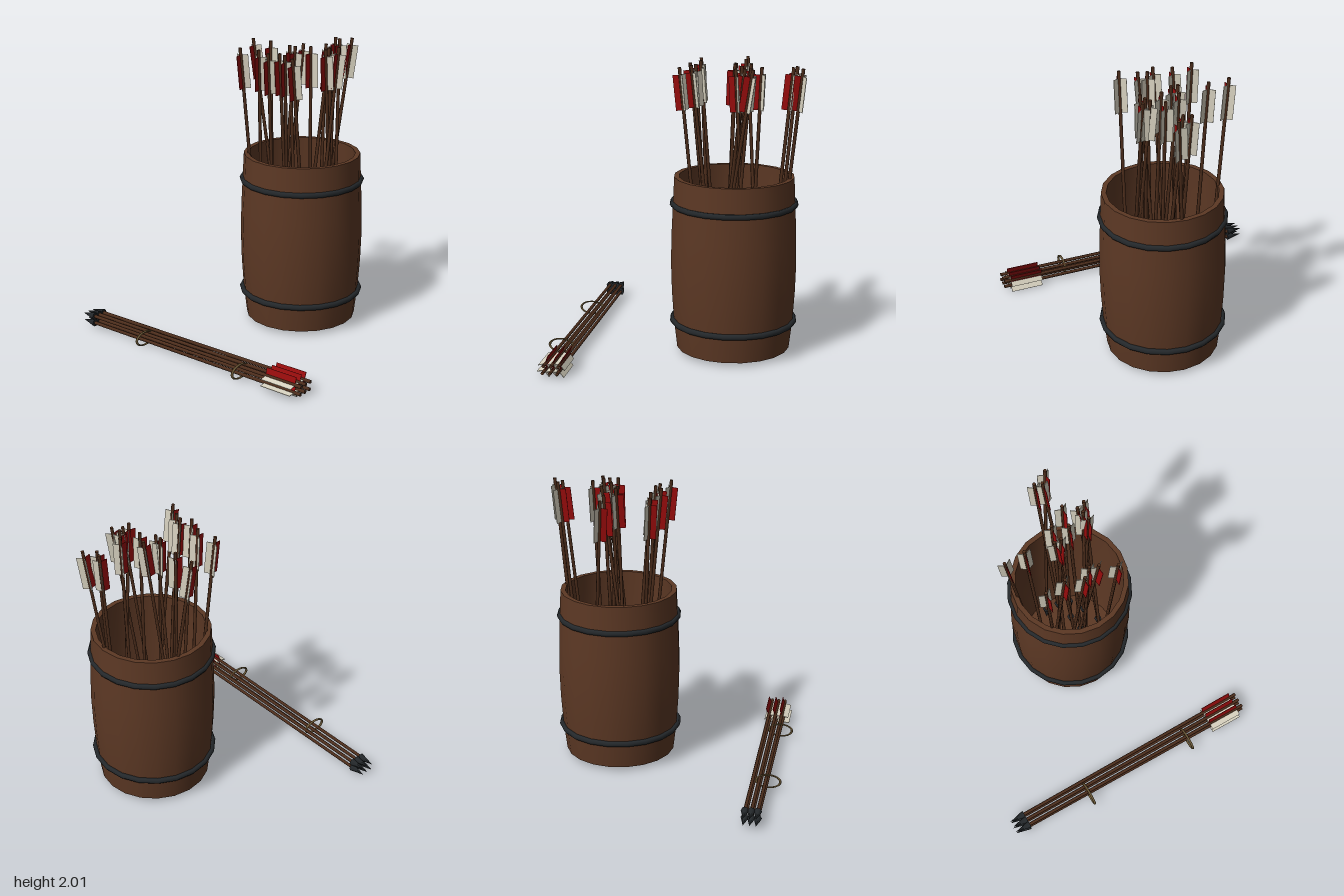
import * as THREE from 'three';

const mat = (name, color, side = THREE.FrontSide) => {
  const m = new THREE.MeshStandardMaterial({ color, side });
  m.name = name;
  return m;
};

export function createModel() {
  const model = new THREE.Group();
  model.name = 'arrowBarrel';

  const barrelWood = mat('barrel wood', 0x5c3824);
  const shaftWood = mat('shaft wood', 0x4e2e1c);
  const iron = mat('dark iron', 0x24282b);
  const redFeather = mat('red feather', 0x960c0c);
  const paleFeather = mat('pale feather', 0xd8d2c0);
  const cord = mat('cord', 0x6b5836);

  const add = (parent, name, geo, material, x = 0, y = 0, z = 0) => {
    const mesh = new THREE.Mesh(geo, material);
    mesh.name = name;
    mesh.position.set(x, y, z);
    parent.add(mesh);
    return mesh;
  };

  // Barrel: outer wall, rim, inner wall and floor in one profile
  const barrel = new THREE.Group();
  barrel.name = 'barrel';
  barrel.position.set(0.13, 0, -0.37);
  model.add(barrel);
  const lathe = (name, pts) =>
    add(barrel, name, new THREE.LatheGeometry(pts.map(p => new THREE.Vector2(...p)), 20), barrelWood);
  lathe('barrelBottom', [[0, 0.02], [0.395, 0.02]]);
  lathe('barrelWall', [[0.395, 0.02], [0.418, 0.22], [0.432, 0.43], [0.438, 0.64], [0.434, 0.84], [0.424, 1.05], [0.415, 1.24]]);
  lathe('barrelRim', [[0.415, 1.24], [0.38, 1.24]]);
  lathe('barrelInside', [[0.38, 1.24], [0.4, 0.64], [0.358, 0.045]]);
  lathe('barrelFloor', [[0.358, 0.045], [0, 0.045]]);
  for (const y of [0.215, 1.05]) {
    const hoop = add(barrel, 'ironHoop', new THREE.TorusGeometry(0.425, 0.021, 6, 20), iron, 0, y, 0);
    hoop.rotation.x = Math.PI / 2;
  }

  // One arrow from tip to nock; turn spins the red vane about the shaft
  const up = new THREE.Vector3(0, 1, 0);
  const headGeo = new THREE.ConeGeometry(0.028, 0.115, 6).rotateX(Math.PI);
  const vaneGeo = new THREE.BoxGeometry(0.004, 0.24, 0.05).translate(0, 0, 0.027);
  function arrow(parent, tip, nock, turn) {
    const dir = nock.clone().sub(tip);
    const length = dir.length();
    const g = new THREE.Group();
    g.name = 'arrow';
    g.position.copy(tip);
    g.quaternion.setFromUnitVectors(up, dir.normalize());
    add(g, 'shaft', new THREE.CylinderGeometry(0.012, 0.012, length - 0.1, 6), shaftWood, 0, (length + 0.1) / 2, 0);
    add(g, 'arrowhead', headGeo, iron, 0, 0.0575, 0);
    for (let i = 0; i < 3; i++) {
      const vane = add(g, 'feather', vaneGeo, i ? paleFeather : redFeather, 0, length - 0.17, 0);
      vane.rotation.y = turn + i * Math.PI * 2 / 3;
    }
    parent.add(g);
  }

  // Arrows standing in the barrel: tip x, tip z, nock x, nock z
  const standing = new THREE.Group();
  standing.name = 'standingArrows';
  model.add(standing);
  [
    [-0.11, -0.52, -0.33, -0.39], [-0.07, -0.18, -0.2, -0.08], [-0.09, -0.33, -0.18, -0.4],
    [-0.12, -0.24, -0.05, -0.1], [0.02, -0.22, 0.07, -0.05], [0.15, -0.22, 0.13, -0.1],
    [0.1, -0.27, 0.19, -0.08], [0.32, -0.22, 0.3, -0.02], [-0.03, -0.28, 0.07, -0.36],
    [0.15, -0.3, 0.02, -0.36], [0.22, -0.36, 0.16, -0.42], [0.02, -0.22, 0.06, -0.47],
    [0.2, -0.48, 0.19, -0.56], [0.38, -0.36, 0.27, -0.5], [0.32, -0.22, 0.33, -0.52],
    [0.2, -0.24, 0.29, -0.46], [0.32, -0.5, 0.3, -0.4], [0.06, -0.62, 0.22, -0.84],
    [0.17, -0.62, 0.11, -0.79], [0.26, -0.59, 0.16, -0.77],
  ].forEach(([tx, tz, nx, nz], i) =>
    arrow(standing, new THREE.Vector3(tx, 0.05, tz), new THREE.Vector3(nx, 2, nz), 0.15 * Math.sin(i * 2.3)));

  // Bundle lying on the ground
  const bundle = new THREE.Group();
  bundle.name = 'arrowBundle';
  model.add(bundle);
  for (let row = 0; row < 2; row++) {
    for (let col = 0; col < 3; col++) {
      const tip = new THREE.Vector3(-0.98, 0.035 + row * 0.05, 0.68 + col * 0.043);
      const nock = new THREE.Vector3(0.985, 0.036 + row * 0.05, 0.666 + col * 0.05 + (row ? 0 : 0.008));
      arrow(bundle, tip, nock, -1.92 + 0.08 * Math.sin(row * 4 + col * 2));
    }
  }

  // Cord loops tied round the bundle
  for (const x of [-0.365, 0.49]) {
    const loop = add(bundle, 'cordLoop', new THREE.TorusGeometry(0.085, 0.009, 6, 20), cord, x, 0.06, 0.78);
    loop.rotation.y = Math.PI / 2;
    loop.scale.y = 0.56;
  }
  return model;
}
